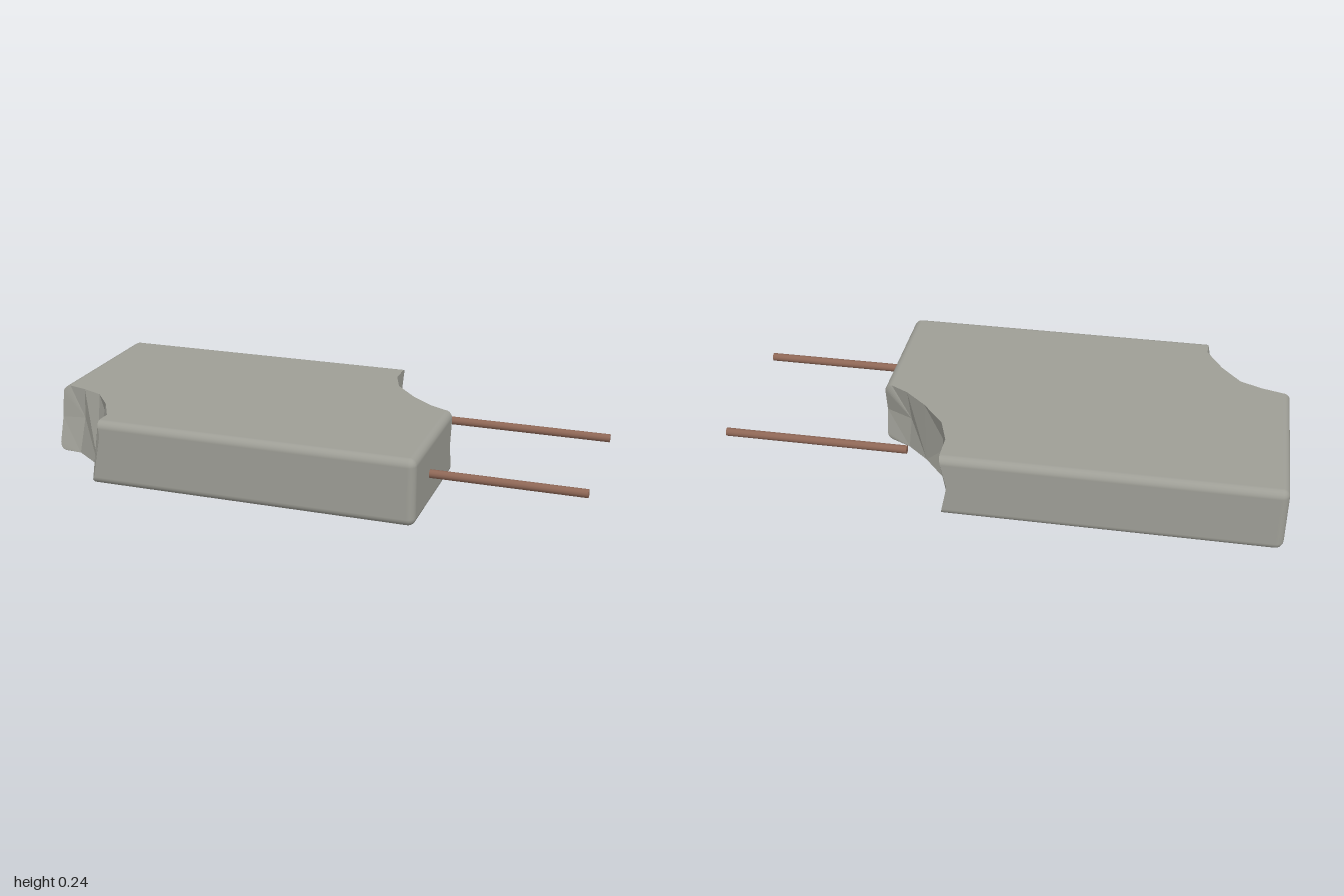
import * as THREE from 'three';

const H = 0.24, R = 0.028, X0 = -1, X1 = 0.463, Z = 0.467;

// Height levels with the inset and normal tilt of the rounded rims
function makeLevels() {
  const levels = [];
  const n = 5;
  for (let i = 0; i <= n; i++) {
    const phi = (i / n - 1) * Math.PI / 2;
    levels.push({ y: R + R * Math.sin(phi), phi, out: R * Math.cos(phi) });
  }
  levels.push({ y: 0.12, phi: 0, out: R }, { y: 0.19, phi: 0, out: R });
  for (let i = 0; i <= n; i++) {
    const phi = i / n * Math.PI / 2;
    levels.push({ y: H - R + R * Math.sin(phi), phi, out: R * Math.cos(phi) });
  }
  return levels;
}

// Piecewise linear lookup in [[y, value], ...]
function lookup(keys, y) {
  for (let i = 1; i < keys.length; i++) {
    const [y0, a] = keys[i - 1], [y1, b] = keys[i];
    if (y <= y1) return a + (b - a) * (y - y0) / (y1 - y0);
  }
  return keys[keys.length - 1][1];
}

function createBodyGeometry() {
  const levels = makeLevels();
  const positions = [], normals = [];

  function triangle(a, b, c) {
    const flat = b.p.clone().sub(a.p).cross(c.p.clone().sub(a.p));
    if (flat.length() < 1e-9) return;
    flat.normalize();
    for (const v of [a, b, c]) {
      positions.push(...v.p.toArray());
      normals.push(...(v.n || flat).toArray());
    }
  }

  // Joins two upright columns of points, lowest first
  function zip(P, Q) {
    let i = 0, j = 0;
    while (i < P.length - 1 || j < Q.length - 1) {
      const stepP = j === Q.length - 1 ||
        (i < P.length - 1 && P[i + 1].p.y <= Q[j + 1].p.y);
      if (stepP) triangle(P[i], Q[j], P[++i]);
      else triangle(P[i], Q[j], Q[++j]);
    }
  }
  const strip = cols => { for (let i = 1; i < cols.length; i++) zip(cols[i - 1], cols[i]); };
  const bare = col => col.map(v => ({ p: v.p }));

  // Wall column: a point and outward direction for every level
  function wallColumn(nx, nz, at) {
    return levels.map(l => {
      const [x, z] = at(l);
      return {
        p: new THREE.Vector3(x, l.y, z),
        n: new THREE.Vector3(nx * Math.cos(l.phi), Math.sin(l.phi), nz * Math.cos(l.phi))
      };
    });
  }
  function cornerColumns(cx, cz, start) {
    const cols = [];
    for (let i = 0; i <= 5; i++) {
      const a = start - i / 5 * Math.PI / 2;
      const nx = Math.cos(a), nz = Math.sin(a);
      cols.push(wallColumn(nx, nz, l => [cx + nx * l.out, cz + nz * l.out]));
    }
    return cols;
  }
  const biteColumn = pts => pts.map(([x, y, z]) => ({ p: new THREE.Vector3(x, y, z) }));

  // Where the bites meet the four walls
  const leftEnd = [[0, 0.205], [0.12, 0.165], [H, 0.145]];
  const frontEnd = [[0, -0.72], [0.19, -0.683], [H, -0.692]];
  const rightEnd = [[0, -0.045], [0.12, -0.02], [H, -0.045]];
  const backEnd = [[0, 0.17], [0.12, 0.145], [H, 0.17]];

  // Front and left-hand walls, then back and right-hand walls
  const wallA = [
    wallColumn(0, 1, l => [lookup(frontEnd, l.y), Z - R + l.out]),
    ...cornerColumns(X1 - R, Z - R, Math.PI / 2),
    wallColumn(1, 0, l => [X1 - R + l.out, lookup(rightEnd, l.y)])
  ];
  const wallB = [
    wallColumn(0, -1, l => [lookup(backEnd, l.y), -Z + R - l.out]),
    ...cornerColumns(X0 + R, -Z + R, -Math.PI / 2),
    wallColumn(-1, 0, l => [X0 + R - l.out, lookup(leftEnd, l.y)])
  ];

  // Faceted bite at the back corner
  const biteBack = [
    bare(wallA[wallA.length - 1]),
    biteColumn([[0.37, 0, -0.08], [0.36, 0.12, -0.07], [0.37, H, -0.08]]),
    biteColumn([[0.29, 0, -0.15], [0.29, H, -0.15]]),
    biteColumn([[0.205, 0, -0.25], [0.19, 0.12, -0.23], [0.205, H, -0.25]]),
    biteColumn([[0.17, 0, -0.35], [0.17, H, -0.35]]),
    bare(wallB[0])
  ];
  // Faceted bite at the front corner, leaning outward at its foot
  const biteFront = [
    bare(wallB[wallB.length - 1]),
    biteColumn([[-0.91, 0, 0.21], [-0.9, 0.13, 0.175], [-0.9, H, 0.165]]),
    biteColumn([[-0.79, 0, 0.3], [-0.82, H, 0.2]]),
    biteColumn([[-0.765, 0, 0.36], [-0.74, 0.17, 0.29], [-0.75, H, 0.285]]),
    biteColumn([[-0.74, 0, 0.43], [-0.69, H, 0.39]]),
    bare(wallA[0])
  ];
  [wallA, biteBack, wallB, biteFront].forEach(strip);

  // Flat top and bottom faces
  const loop = [...wallA, ...biteBack.slice(1, -1), ...wallB, ...biteFront.slice(1, -1)];
  for (const top of [true, false]) {
    const ring = loop.map(c => c[top ? c.length - 1 : 0].p)
      .filter((p, i, all) => i === 0 || p.distanceTo(all[i - 1]) > 1e-5);
    const flat = ring.map(p => new THREE.Vector2(p.x, -p.z));
    for (const [a, b, c] of THREE.ShapeUtils.triangulateShape(flat, [])) {
      const [A, B, C] = [a, b, c].map(i => ({ p: ring[i] }));
      if (top) triangle(A, B, C); else triangle(A, C, B);
    }
  }

  const g = new THREE.BufferGeometry();
  g.setAttribute('position', new THREE.Float32BufferAttribute(positions, 3));
  g.setAttribute('normal', new THREE.Float32BufferAttribute(normals, 3));
  return g;
}

export function createModel() {
  const model = new THREE.Group();
  model.name = 'bittenSlabWithRods';
  const stone = new THREE.MeshStandardMaterial({ color: 0x9e9e96 });
  stone.name = 'grey stone';
  const copper = new THREE.MeshStandardMaterial({ color: 0x8e6756 });
  copper.name = 'rusty brown';

  const body = new THREE.Mesh(createBodyGeometry(), stone);
  body.name = 'slab';
  model.add(body);

  // Two reinforcing rods
  const start = 0.33, end = 1;
  const rodGeometry = new THREE.CylinderGeometry(0.015, 0.015, end - start, 12);
  rodGeometry.rotateZ(-Math.PI / 2);
  for (const side of [1, -1]) {
    const rod = new THREE.Mesh(rodGeometry, copper);
    rod.name = side > 0 ? 'frontRod' : 'backRod';
    rod.position.set((start + end) / 2, 0.12, side * 0.267);
    model.add(rod);
  }
  return model;
}
